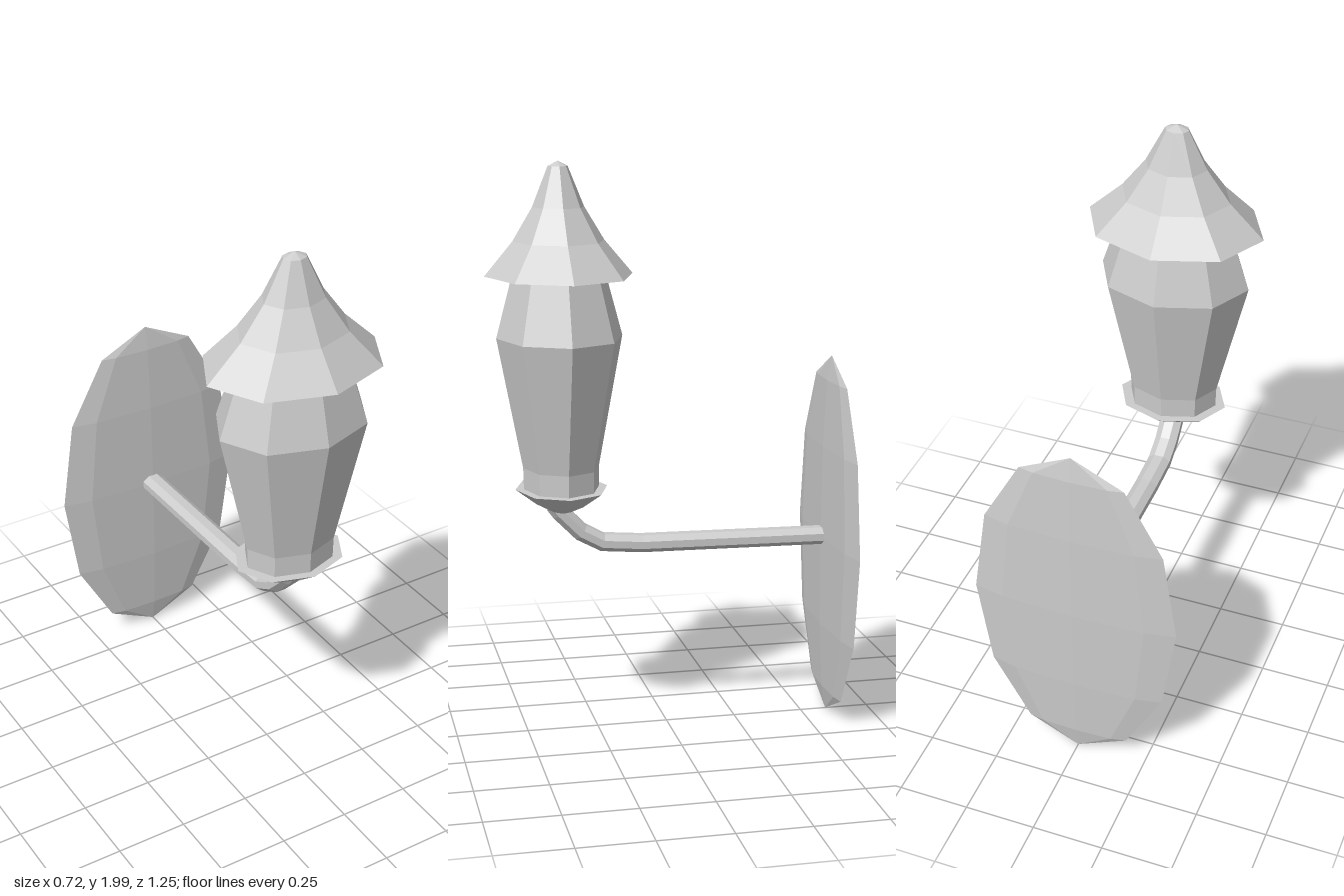
import * as THREE from 'three';

const material = new THREE.MeshStandardMaterial({ color: 0xcccccc, flatShading: true });
const thinMaterial = material.clone();
thinMaterial.side = THREE.DoubleSide;

function part(name, geometry, mat = material) {
  const mesh = new THREE.Mesh(geometry, mat);
  mesh.name = name;
  return mesh;
}

// Eight-sided turned part, profile given as [radius, y] from bottom to top
function turned(name, profile, mat) {
  return part(name, new THREE.LatheGeometry(profile.map(([r, y]) => new THREE.Vector2(r, y)), 8), mat);
}

// Octagonal bar bent through [y, z] points, by moving the rings of a cylinder
function bentBar(points, halfWidth, halfHeight) {
  const n = points.length - 1;
  const geometry = new THREE.CylinderGeometry(1, 1, n, 8, n).rotateY(Math.PI / 8);
  const pos = geometry.attributes.position;
  for (let v = 0; v < pos.count; v++) {
    const i = Math.round(n / 2 - pos.getY(v));
    const [y, z] = points[i];
    const before = points[Math.max(i - 1, 0)], after = points[Math.min(i + 1, n)];
    const dy = before[0] - after[0], dz = before[1] - after[1];
    const length = Math.hypot(dy, dz);
    const side = pos.getZ(v) * halfHeight;
    pos.setXYZ(v, pos.getX(v) * halfWidth, y - side * dz / length, z + side * dy / length);
  }
  geometry.computeVertexNormals();
  return geometry;
}

export function createModel() {
  const model = new THREE.Group();
  model.name = 'wallLantern';

  // Oval wall plate
  const plate = part('wallPlate', new THREE.SphereGeometry(1, 8, 6).scale(0.362, 0.652, 0.031));
  plate.position.set(0, 0.66, -0.594);
  model.add(plate);

  // Curved arm from the lantern down and back to the plate
  model.add(part('arm', bentBar(
    [[0.83, 0.4], [0.8, 0.378], [0.725, 0.305], [0.684, 0.23], [0.672, 0.09], [0.664, -0.59]], 0.044, 0.033)));

  // Lantern, slightly flattened front to back
  const lantern = new THREE.Group();
  lantern.name = 'lantern';
  lantern.position.z = 0.37;
  lantern.scale.z = 0.8;
  lantern.add(
    turned('base', [[0, 0.8], [0.045, 0.803], [0.11, 0.83], [0.2, 0.885], [0, 0.886]]),
    turned('lampBody', [[0, 0.88], [0.163, 0.88], [0.165, 0.96], [0.27, 1.41], [0.2, 1.62], [0.165, 1.7], [0, 1.7]]),
    turned('roof', [[0.316, 1.62], [0.195, 1.735], [0.11, 1.848], [0.042, 1.983], [0, 2]], thinMaterial),
  );
  model.add(lantern);
  return model;
}
